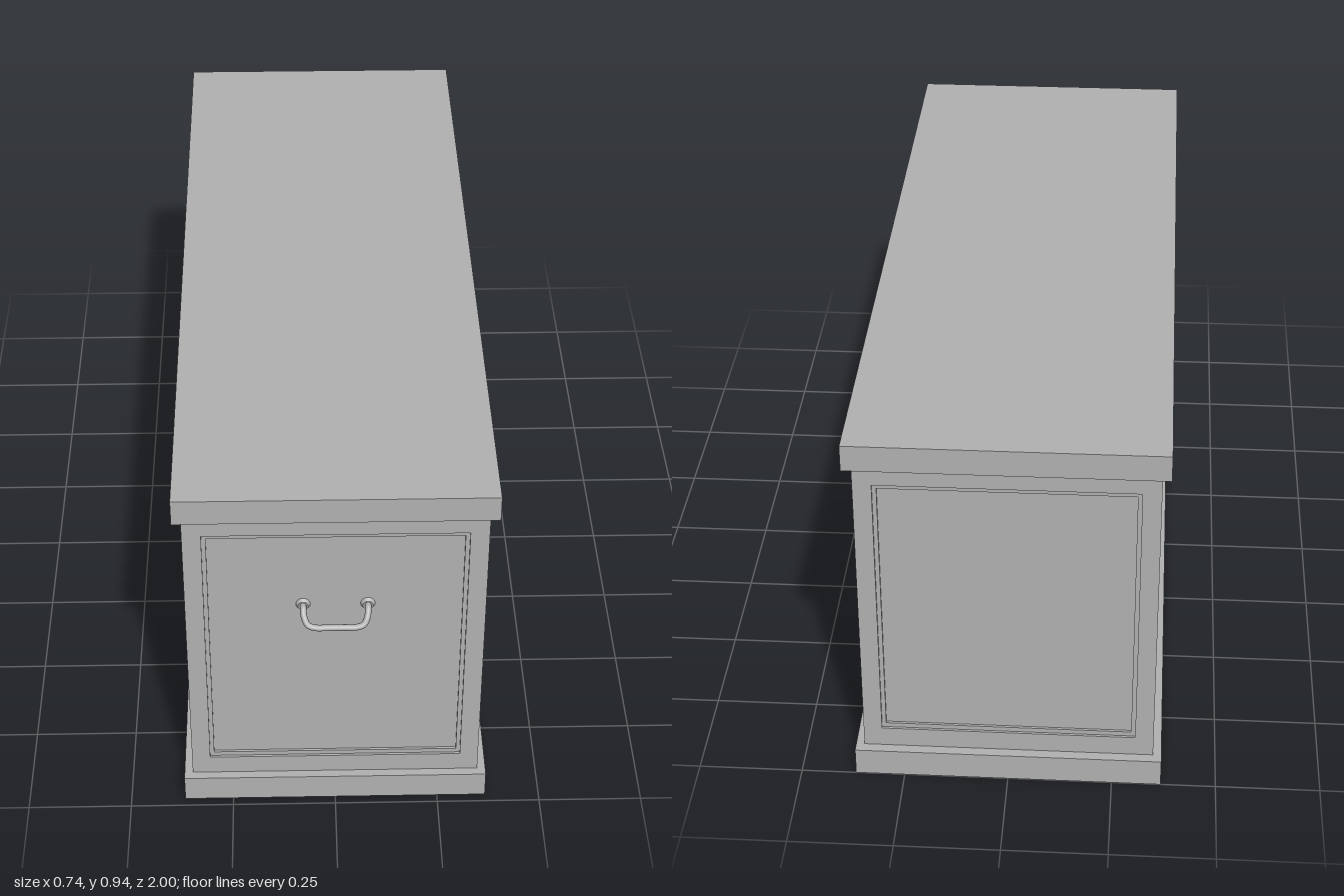
import * as THREE from 'three';

export function createModel() {
  const chest = new THREE.Group();
  chest.name = 'drawerChest';
  const grey = new THREE.MeshStandardMaterial({ color: 0xb2b2b2 });
  const greyShell = grey.clone();
  greyShell.side = THREE.DoubleSide;
  grey.name = 'grey';
  greyShell.name = 'greyShell';

  function add(name, geometry, parent = chest, material = grey) {
    const mesh = new THREE.Mesh(geometry, material);
    mesh.name = name;
    parent.add(mesh);
    return mesh;
  }

  // Box given by its minimum and maximum corners
  function block(name, a, b) {
    const size = b.map((v, i) => v - a[i]);
    add(name, new THREE.BoxGeometry(...size)).position.set(...a.map((v, i) => (v + b[i]) / 2));
  }

  // Rectangular frame; rects are [left, bottom, right, top]
  function frame(name, outer, hole, near, far, turn) {
    const corners = ([l, b, r, t]) =>
      [[l, b], [r, b], [r, t], [l, t]].map(([x, y]) => new THREE.Vector2(x, y));
    const shape = new THREE.Shape(corners(outer));
    shape.holes.push(new THREE.Path(corners(hole).reverse()));
    const g = new THREE.ExtrudeGeometry(shape, { depth: far - near, bevelEnabled: false });
    g.translate(0, 0, near);
    g.rotateY(turn);
    add(name, g);
  }

  // Slabs and carcass core
  block('plinth', [-0.368, 0, -1], [0.368, 0.07, 0.978]);
  block('topSlab', [-0.368, 0.875, -1], [0.368, 0.94, 0.978]);
  block('carcass', [-0.348, 0.07, -0.963], [0.318, 0.875, 0.945]);

  // Stepped mouldings around the end panels
  const hole1 = [-0.304, 0.121, 0.304, 0.822];
  const hole2 = [-0.294, 0.133, 0.294, 0.81];
  const frontOuter = [-0.348, 0.07, 0.318, 0.875];
  const backOuter = [-0.318, 0.07, 0.348, 0.875];
  frame('frontFrame', frontOuter, hole1, 0.951, 0.957, 0);
  frame('frontMoulding', frontOuter, hole2, 0.945, 0.951, 0);
  frame('backFrame', backOuter, hole1, 0.969, 0.975, Math.PI);
  frame('backMoulding', backOuter, hole2, 0.963, 0.969, Math.PI);

  // Drawer side: nested frames stepping in to the panel
  const sideOuter = [-0.957, 0.07, 0.975, 0.875];
  const steps = [
    [-0.802, 0.205, 0.814, 0.74],
    [-0.847, 0.165, 0.86, 0.78],
    [-0.876, 0.14, 0.89, 0.803],
    [-0.9, 0.121, 0.911, 0.822],
  ];
  steps.forEach((hole, i) =>
    frame('drawerFrame' + (i + 1), sideOuter, hole, 0.318 + i * 0.0075, 0.3255 + i * 0.0075, Math.PI / 2));

  // Cup pulls: squared-off quarter domes, open below
  for (const z of [0.385, -0.395]) {
    const g = new THREE.SphereGeometry(1, 32, 12, Math.PI / 2, Math.PI, 0, Math.PI / 2);
    const p = g.attributes.position;
    for (let i = 0; i < p.count; i++) {
      const s = p.getZ(i);
      p.setXYZ(i, Math.abs(p.getX(i)) * 0.039, p.getY(i) * 0.047,
        Math.sign(s) * Math.abs(s) ** 0.75 * 0.075);
    }
    g.computeVertexNormals();
    add('cupPull', g, chest, greyShell).position.set(0.318, 0.455, z);
  }

  // Bail handle on the front panel
  const bail = new THREE.Group();
  bail.name = 'bailHandle';
  chest.add(bail);
  const half = [[0.075, 0.607, 0.945], [0.075, 0.607, 0.962], [0.073, 0.593, 0.978],
    [0.064, 0.578, 0.989], [0.045, 0.573, 0.9925], [0.02, 0.573, 0.9925]];
  const points = [...half, ...half.map(([x, y, z]) => [-x, y, z]).reverse()]
    .map((v) => new THREE.Vector3(...v));
  add('bar', new THREE.TubeGeometry(new THREE.CatmullRomCurve3(points), 64, 0.0075, 12), bail);
  for (const side of [-1, 1]) {
    const rose = add('rose', new THREE.CylinderGeometry(0.012, 0.017, 0.008, 24), bail);
    rose.rotation.x = Math.PI / 2;
    rose.position.set(side * 0.075, 0.605, 0.949);
  }
  return chest;
}
